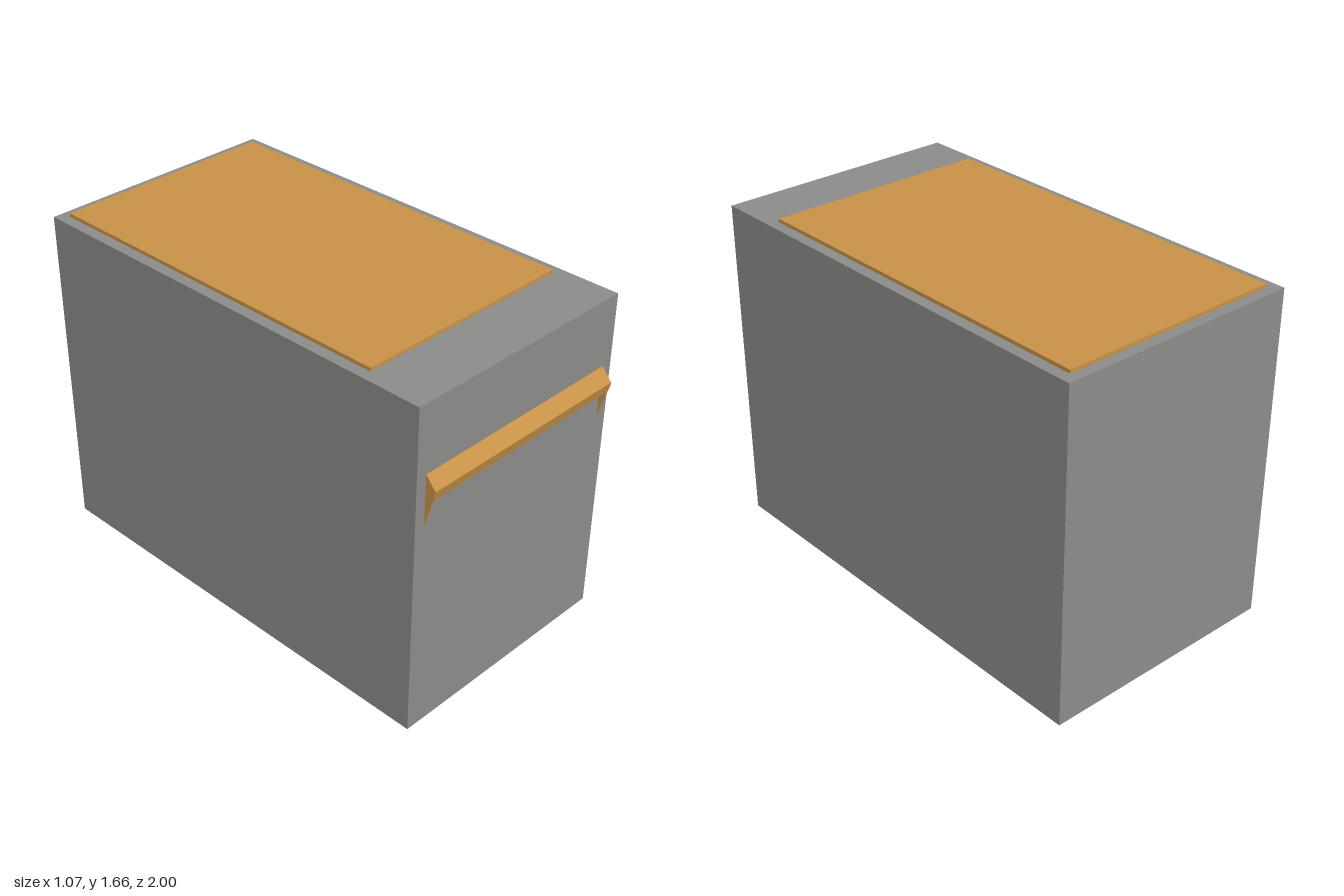
import * as THREE from 'three';

const material = (name, color) => {
  const m = new THREE.MeshStandardMaterial({ color });
  m.name = name;
  return m;
};

export function createModel() {
  const grey = material('grey casing', 0x8c8c8a);
  const orange = material('orange trim', 0xc89348);
  const metal = material('light metal', 0xcccccc);
  const dark = material('dark metal', 0x303030);

  const model = new THREE.Group();
  model.name = 'cabinet';

  const add = (parent, name, geometry, mat, x = 0, y = 0, z = 0) => {
    const mesh = new THREE.Mesh(geometry, mat);
    mesh.name = name;
    mesh.position.set(x, y, z);
    parent.add(mesh);
    return mesh;
  };

  // Extrudes a (z, y) side profile across x, centred on x = 0
  const acrossX = (points, width) => {
    const shape = new THREE.Shape(points.map(([z, y]) => new THREE.Vector2(z, y)));
    return new THREE.ExtrudeGeometry(shape, { depth: width, bevelEnabled: false })
      .translate(0, 0, -width / 2)
      .rotateY(-Math.PI / 2);
  };

  // Main casing and raised top panel
  add(model, 'casing', new THREE.BoxGeometry(1.074, 1.44, 1.955), grey, 0, 0.925, -0.0225);
  add(model, 'topPanel', new THREE.BoxGeometry(0.98, 0.015, 1.645), orange, 0, 1.6525, -0.1325);

  // Hooded pull handle, open underneath, with tapered end plates
  const handle = new THREE.Group();
  handle.name = 'handle';
  model.add(handle);
  const hood = [[0.955, 1.355], [1, 1.303], [0.988, 1.257], [0.983, 1.257], [0.994, 1.3], [0.955, 1.347]];
  const endPlate = [[0.955, 1.355], [1, 1.303], [0.998, 1.288], [0.955, 1.14]];
  add(handle, 'handleHood', acrossX(hood, 0.97), orange);
  for (const side of [-1, 1]) {
    add(handle, 'handleEnd', acrossX(endPlate, 0.005), orange, side * 0.4875);
  }

  // Pedestal: round post through a square block whose corners stand proud
  const pedestal = new THREE.Group();
  pedestal.name = 'pedestal';
  pedestal.position.z = -0.1325;
  model.add(pedestal);
  add(pedestal, 'roundPost', new THREE.CylinderGeometry(0.25, 0.25, 0.205, 16), metal, 0, 0.1025);
  add(pedestal, 'squareBlock', new THREE.BoxGeometry(0.45, 0.203, 0.45), dark, 0, 0.1035);

  return model;
}
